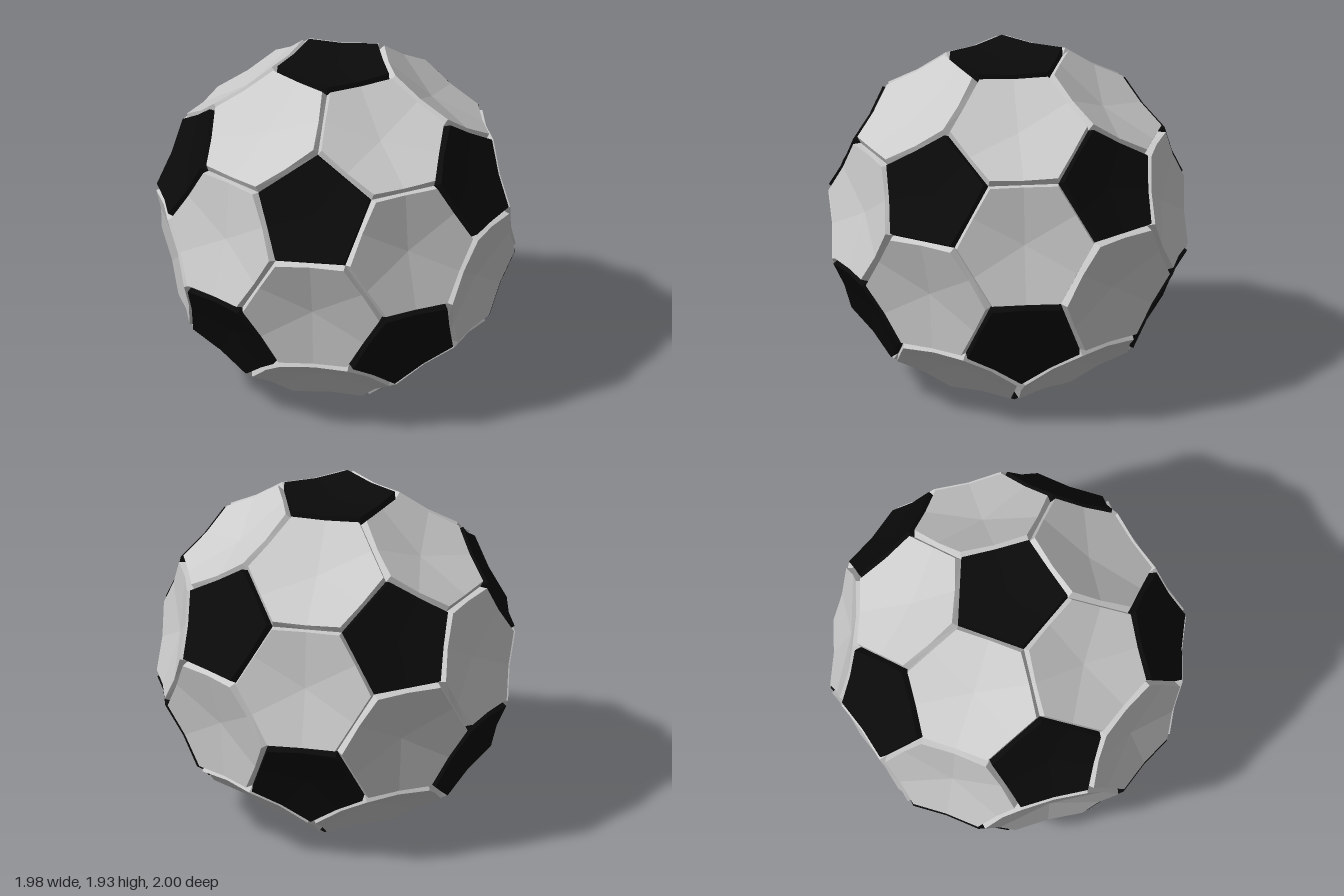
import * as THREE from 'three';

const RADIUS = 1.03;      // distance of the panel corners from the middle
const HALF_HEIGHT = 0.967;
const GROOVE = 0.95;      // seam floor as a fraction of the radius
const DISH = 0.32;        // how strongly panels are hollowed

const white = new THREE.MeshStandardMaterial({ color: 0xcccccc, flatShading: true });
const black = new THREE.MeshStandardMaterial({ color: 0x0a0a0a, flatShading: true });

// Twelve icosahedron directions: two poles and two staggered rings
function icosahedronPoints() {
  const pts = [new THREE.Vector3(0, 1, 0), new THREE.Vector3(0, -1, 0)];
  const h = 1 / Math.sqrt(5), r = 2 / Math.sqrt(5);
  for (let k = 0; k < 5; k++) {
    const a = k * Math.PI * 0.4, b = a + Math.PI / 5;
    pts.push(new THREE.Vector3(r * Math.cos(a), h, r * Math.sin(a)));
    pts.push(new THREE.Vector3(r * Math.cos(b), -h, r * Math.sin(b)));
  }
  return pts;
}

// Corner of the truncated solid, a third of the way from a to b
function corner(a, b) {
  return a.clone().lerp(b, 1 / 3).setLength(RADIUS);
}

// Sort corners counter-clockwise around the outward normal
function sortAround(corners, normal) {
  const u = corners[0].clone().projectOnPlane(normal).normalize();
  const v = normal.clone().cross(u);
  const angle = (p) => Math.atan2(p.dot(v), p.dot(u));
  return corners.sort((p, q) => angle(p) - angle(q));
}

// One dished panel with side walls sloping into the seam
function panel(corners, normal, inset, material, name) {
  sortAround(corners, normal);
  const n = corners.length;
  const centre = new THREE.Vector3();
  corners.forEach((p) => centre.addScaledVector(p, 1 / n));
  const apothem = corners[0].distanceTo(centre) * Math.cos(Math.PI / n);
  const shrink = 1 - inset / apothem;

  // Rim points alternate between corners and edge midpoints
  const rim = [], floor = [];
  corners.forEach((p, i) => {
    const mid = p.clone().lerp(corners[(i + 1) % n], 0.5);
    for (const q of [p, mid]) {
      rim.push(centre.clone().lerp(q, shrink));
      floor.push(q.clone().multiplyScalar(GROOVE));
    }
  });
  const rim2 = rim[0].distanceToSquared(centre);
  const sink = (p) => p.clone().addScaledVector(normal, -DISH * (rim2 - p.distanceToSquared(centre)));
  const top = rim.map(sink), hub = sink(centre);

  const tris = [];
  for (let i = 0; i < 2 * n; i++) {
    const j = (i + 1) % (2 * n);
    tris.push(hub, top[i], top[j]);
    tris.push(top[i], floor[i], floor[j], top[i], floor[j], top[j]);
  }
  const geometry = new THREE.BufferGeometry().setFromPoints(tris);
  geometry.computeVertexNormals();
  const mesh = new THREE.Mesh(geometry, material);
  mesh.name = name;
  return mesh;
}

export function createModel() {
  const ball = new THREE.Group();
  ball.name = 'ball';
  const pts = icosahedronPoints();
  const near = (a, b) => a !== b && a.dot(b) > 0.4;

  // Black pentagons, one per icosahedron point
  for (const p of pts) {
    const corners = pts.filter((q) => near(p, q)).map((q) => corner(p, q));
    ball.add(panel(corners, p, 0.018, black, 'pentagonPanel'));
  }

  // Pale hexagons, one per icosahedron face
  for (let i = 0; i < 12; i++)
    for (let j = i + 1; j < 12; j++)
      for (let k = j + 1; k < 12; k++) {
        const [a, b, c] = [pts[i], pts[j], pts[k]];
        if (!near(a, b) || !near(b, c) || !near(a, c)) continue;
        const normal = a.clone().add(b).add(c).normalize();
        const corners = [[a, b], [b, a], [b, c], [c, b], [c, a], [a, c]].map(([p, q]) => corner(p, q));
        ball.add(panel(corners, normal, 0.025, white, 'hexagonPanel'));
      }

  ball.position.y = HALF_HEIGHT;
  const model = new THREE.Group();
  model.add(ball);
  return model;
}
